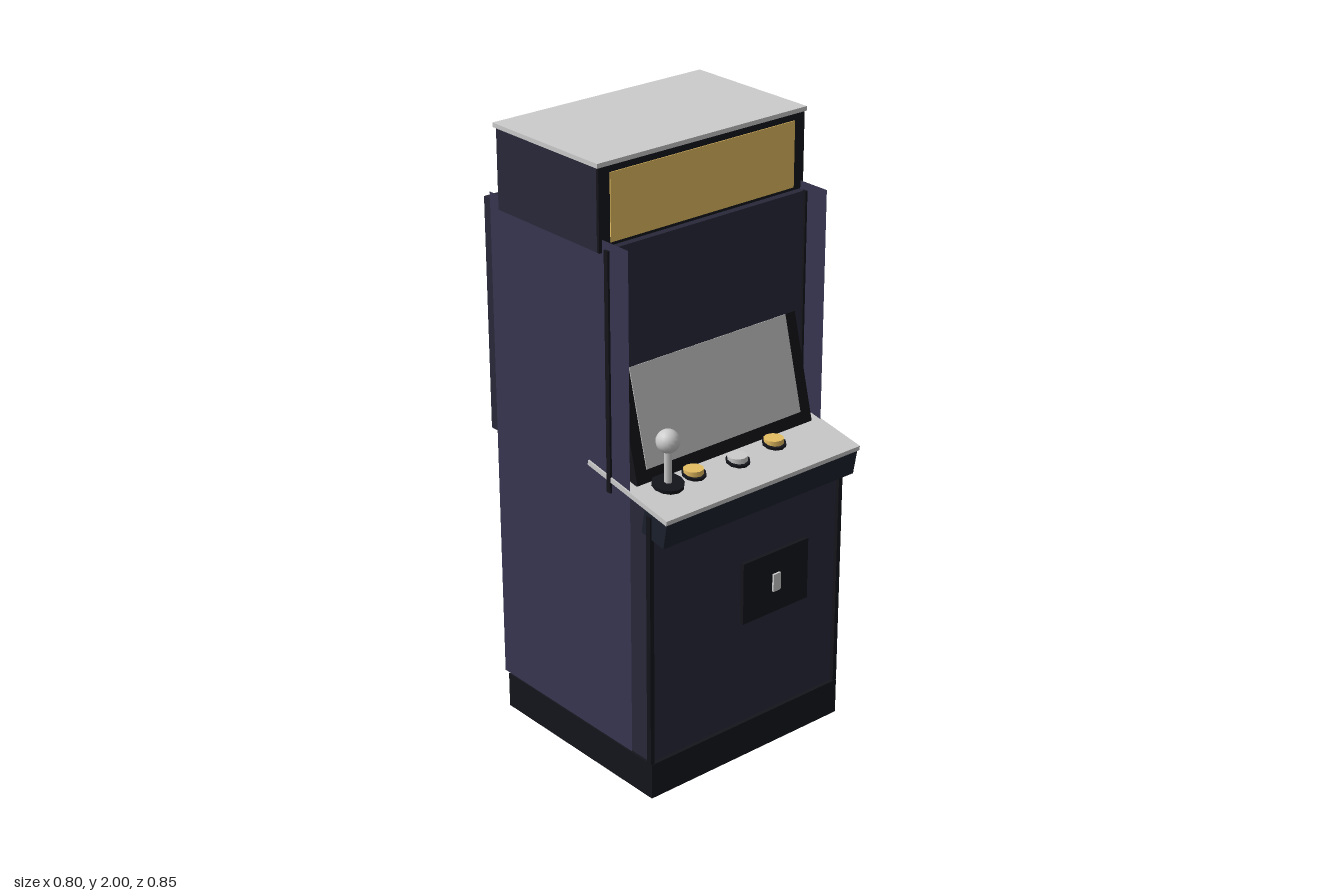
import * as THREE from 'three';

const mat = (color, extra = {}) => new THREE.MeshStandardMaterial({ color, ...extra });
const navy = mat(0x28283a);
const sideBlue = mat(0x36354f, { side: THREE.DoubleSide });
const black = mat(0x14151b);
const slate = mat(0x1a202b);
const grey = mat(0xcccccc);
const yellow = mat(0xe6be62);

export function createModel() {
  const model = new THREE.Group();
  model.name = 'arcadeCabinet';

  const add = (name, geometry, material, parent = model) => {
    const mesh = new THREE.Mesh(geometry, material);
    mesh.name = name;
    parent.add(mesh);
    return mesh;
  };
  // Box given by its extents along each axis
  const box = (name, material, [x0, x1], [y0, y1], [z0, z1], parent) => {
    const mesh = add(name, new THREE.BoxGeometry(x1 - x0, y1 - y0, z1 - z0), material, parent);
    mesh.position.set((x0 + x1) / 2, (y0 + y1) / 2, (z0 + z1) / 2);
    return mesh;
  };

  // Cabinet body
  box('plinth', black, [-0.39, 0.39], [0, 0.12], [-0.365, 0.355]);
  box('lowerCabinet', navy, [-0.381, 0.381], [0.12, 0.985], [-0.363, 0.34]);
  box('upperCabinet', navy, [-0.381, 0.381], [0.98, 1.745], [-0.425, 0.163]);

  // Thin side panels and dark edge trims, mirrored
  for (const s of [-1, 1]) {
    const panel = add('sidePanel', new THREE.PlaneGeometry(0.645, 1.65), sideBlue);
    panel.rotation.y = s * Math.PI / 2;
    panel.position.set(s * 0.385, 0.945, -0.0675);
    const x = s > 0 ? [0.377, 0.392] : [-0.392, -0.377];
    box('lowerTrim', black, x, [0.12, 0.97], [0.335, 0.353]);
    box('upperTrim', black, x, [0.98, 1.745], [0.155, 0.172]);
  }

  // Marquee and roof
  box('marqueeBox', navy, [-0.395, 0.395], [1.73, 1.987], [-0.335, 0.135]);
  box('marqueeFrame', black, [-0.396, 0.396], [1.73, 1.987], [0.13, 0.14]);
  box('marqueeSign', yellow, [-0.355, 0.355], [1.755, 1.965], [0.13, 0.143]);
  box('roof', grey, [-0.402, 0.402], [1.986, 2], [-0.342, 0.143]);

  // Screen and bezel leaning back into the cabinet
  const display = new THREE.Group();
  display.name = 'display';
  display.position.set(0, 1.02, 0.25);
  display.rotation.x = -0.25;
  model.add(display);
  box('bezel', black, [-0.352, 0.352], [0, 0.36], [-0.05, 0], display);
  box('screen', grey, [-0.31, 0.31], [0.04, 0.352], [-0.02, 0.003], display);

  // Sloping control panel with a lip under its front edge
  const tilt = 0.18;
  const deck = new THREE.Group();
  deck.name = 'controlPanel';
  deck.position.set(0, 1.01, 0.245);
  deck.rotation.x = tilt;
  model.add(deck);
  box('controlTop', grey, [-0.39, 0.39], [-0.008, 0.008], [-0.183, 0.183], deck);
  box('controlLip', slate, [-0.385, 0.385], [-0.094, -0.008], [0.08, 0.18], deck);

  // Push buttons
  const buttons = [[-0.162, 0.282, yellow], [0, 0.297, grey], [0.162, 0.282, yellow]];
  for (const [x, z, material] of buttons) {
    const base = add('buttonBase', new THREE.CylinderGeometry(0.038, 0.038, 0.012, 10), black);
    base.position.set(x, 1.014 - (z - 0.282) * tilt, z + 0.002);
    base.rotation.x = tilt;
    const cap = add('buttonCap', new THREE.CylinderGeometry(0.032, 0.032, 0.018, 10), material);
    cap.position.set(x, 1.023 - (z - 0.282) * tilt, z);
  }

  // Joystick
  const joystick = new THREE.Group();
  joystick.name = 'joystick';
  joystick.position.set(-0.266, 0, 0.287);
  model.add(joystick);
  const stickBase = add('joystickBase', new THREE.CylinderGeometry(0.05, 0.05, 0.016, 12), black, joystick);
  stickBase.position.y = 1.015;
  stickBase.rotation.x = tilt;
  add('joystickShaft', new THREE.CylinderGeometry(0.012, 0.012, 0.13, 10), grey, joystick).position.y = 1.075;
  add('joystickBall', new THREE.SphereGeometry(0.037, 16, 12), grey, joystick).position.y = 1.155;

  // Coin door
  box('coinDoor', black, [-0.02, 0.25], [0.475, 0.685], [0.335, 0.354]);
  box('coinSlot', grey, [0.1, 0.13], [0.55, 0.61], [0.35, 0.361]);

  return model;
}
